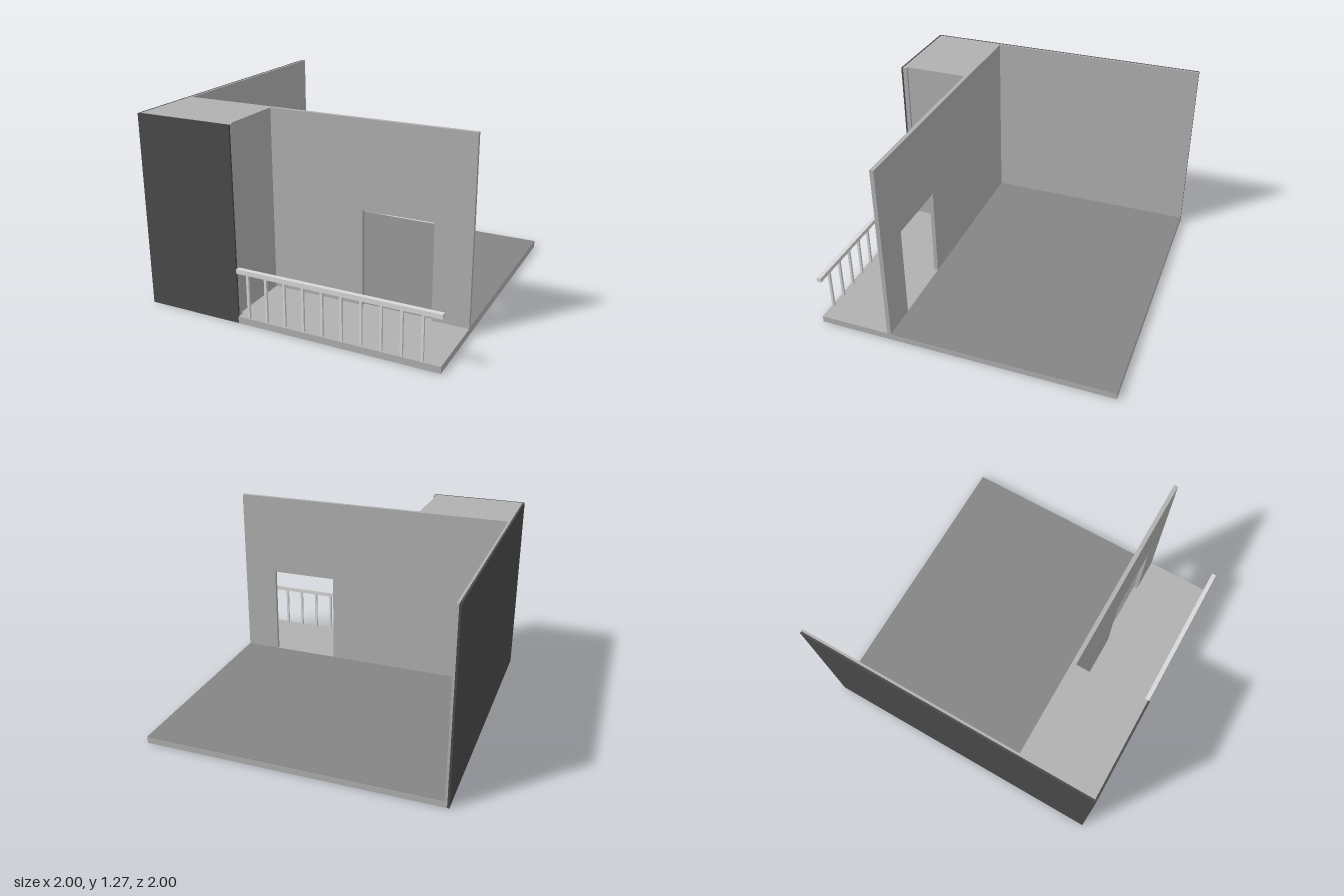
import * as THREE from 'three';

const mat = (name, color) => {
  const m = new THREE.MeshStandardMaterial({ color });
  m.name = name;
  return m;
};

export function createModel() {
  const group = new THREE.Group();
  const wallGrey = mat('wallGrey', 0xb0b0b0);
  const floorGrey = mat('floorGrey', 0x858585);
  const claddingDark = mat('claddingDark', 0x4a4a4a);
  const railLight = mat('railLight', 0xd8d8d8);

  // Box given by its minimum and maximum corners
  const box = (name, material, [x0, y0, z0], [x1, y1, z1], parent = group) => {
    const mesh = new THREE.Mesh(new THREE.BoxGeometry(x1 - x0, y1 - y0, z1 - z0), material);
    mesh.position.set((x0 + x1) / 2, (y0 + y1) / 2, (z0 + z1) / 2);
    mesh.name = name;
    parent.add(mesh);
    return mesh;
  };

  const H = 1.27, slabTop = 0.045, skin = 0.987, cornerX = -0.338;

  // Base slab, balcony edge and interior floor
  box('baseSlab', wallGrey, [-skin, 0, -1], [1, slabTop, skin]);
  box('balconyEdge', wallGrey, [cornerX, 0, skin], [1, slabTop, 1]);
  box('interiorFloor', floorGrey, [-0.972, slabTop, -1], [1, slabTop + 0.002, 0.495]);

  // Side wall and the storage block beside the balcony
  box('sideWall', wallGrey, [-skin, slabTop, -1], [-0.972, H, 0.495]);
  box('cornerBlock', wallGrey, [-skin, slabTop, 0.495], [-0.355, H, 0.957]);
  box('cornerFrontWall', wallGrey, [-skin, slabTop, 0.957], [cornerX, H, skin]);

  // Dark outer cladding
  box('sideCladding', claddingDark, [-1, 0, -1], [-skin, H, 1]);
  box('frontCladding', claddingDark, [-skin, 0, skin], [cornerX, H, 1]);

  // Facade with a doorway open down to the floor
  const outline = new THREE.Shape([
    [-0.355, slabTop], [0.285, slabTop], [0.285, 0.69], [0.757, 0.69],
    [0.757, slabTop], [1, slabTop], [1, H], [-0.355, H],
  ].map(([x, y]) => new THREE.Vector2(x, y)));
  const facade = new THREE.Mesh(
    new THREE.ExtrudeGeometry(outline, { depth: 0.027, bevelEnabled: false }), wallGrey);
  facade.position.z = 0.495;
  facade.name = 'facade';
  group.add(facade);

  // Balcony railing
  const railing = new THREE.Group();
  railing.name = 'railing';
  group.add(railing);
  box('handrail', railLight, [cornerX, 0.337, 0.97], [1, 0.367, 1], railing);
  for (let i = 0; i < 10; i++) {
    const x = -0.266 + i * 0.1275;
    box('baluster', railLight, [x - 0.008, slabTop, 0.977], [x + 0.008, 0.337, 0.993], railing);
  }
  return group;
}
